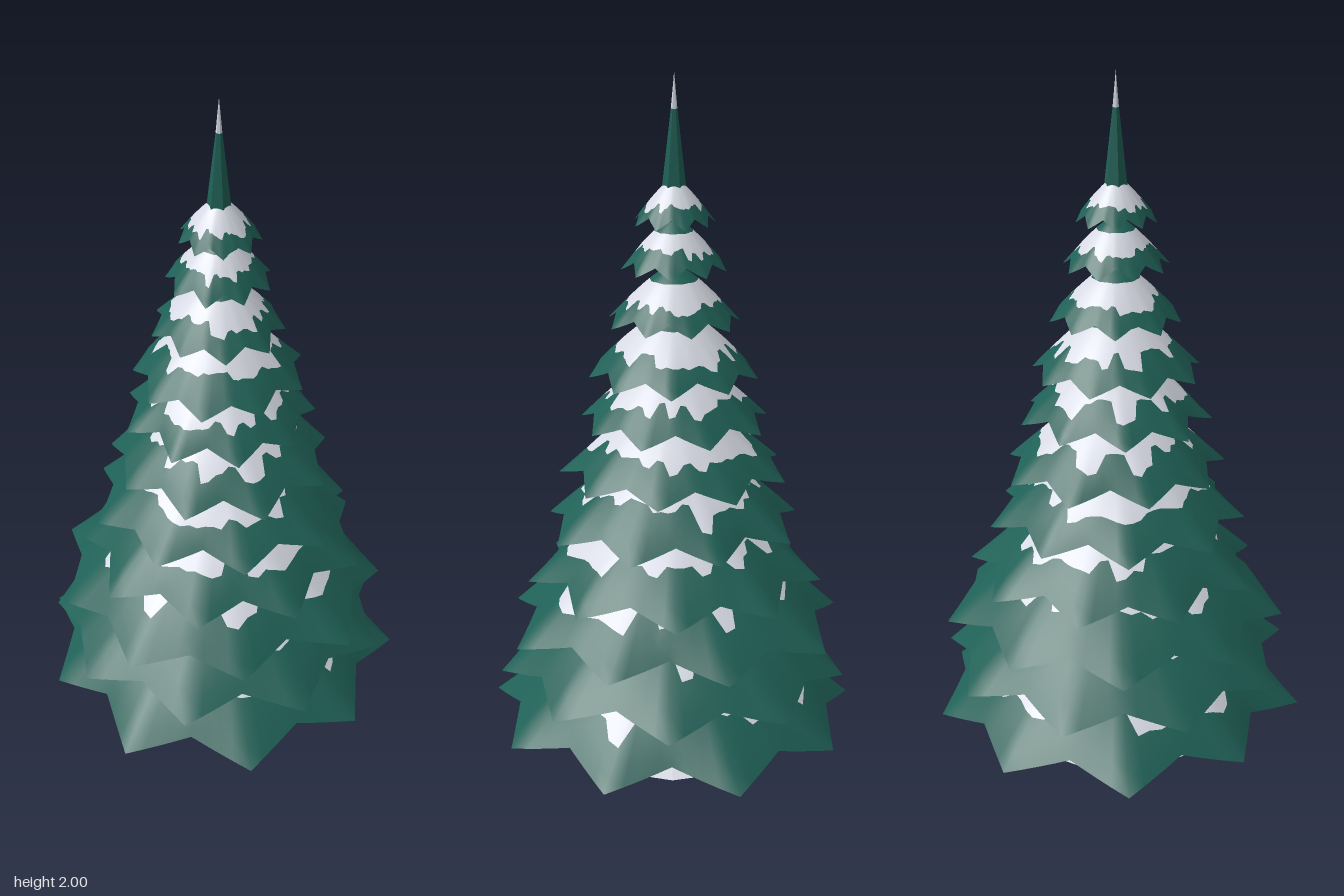
import * as THREE from 'three';

const material = (name, color) =>
  new THREE.MeshStandardMaterial({ name, color, side: THREE.DoubleSide });

// Small seeded generator for irregular branches and snow edges
let seed = 7;
const rand = () => {
  seed = (seed * 16807) % 2147483647;
  return seed / 2147483647;
};

const TEETH = 9, PER_TOOTH = 8, COLS = TEETH * PER_TOOTH;
const HALF = Math.PI / TEETH; // angle from a tip to the next valley
const CORE_ROWS = 2, SNOW_ROWS = 4, GREEN_ROWS = 3;
const ROWS = CORE_ROWS + SNOW_ROWS + GREEN_ROWS;
const INNER = 0.08;

// Drooping star-edged skirt: hidden needle core, band of snow, needle fringe
function tierGeometry(radius, rimY, height, turn, core, snowEdge) {
  const lift = 0.02 + 0.055 * radius;
  const tips = Array.from({ length: TEETH }, () => 0.97 + 0.06 * rand());
  const valleys = Array.from({ length: TEETH }, () => 0.81 + 0.06 * rand());
  const edges = Array.from({ length: COLS / 2 }, () => snowEdge + (rand() - 0.5) * 0.2);
  const pos = [], index = [];

  for (let i = 0; i <= ROWS; i++) {
    for (let j = 0; j < COLS; j++) {
      const a = turn + (j / COLS) * Math.PI * 2;
      // Straight rim line between a tip and its neighbouring valley
      const tooth = Math.floor(j / PER_TOOTH);
      const phase = (j % PER_TOOTH) / PER_TOOTH;
      const fromTip = 1 - Math.abs(1 - 2 * phase);
      const tip = tips[phase > 0.5 ? (tooth + 1) % TEETH : tooth];
      const valley = valleys[tooth];
      const phi = fromTip * HALF;
      const rim = tip * valley * Math.sin(HALF)
        / (tip * Math.sin(phi) + valley * Math.sin(HALF - phi));

      const edge = edges[j >> 1];
      const stops = [INNER, core, edge, 1];
      const band = i <= CORE_ROWS ? 0 : i <= CORE_ROWS + SNOW_ROWS ? 1 : 2;
      const start = [0, CORE_ROWS, CORE_ROWS + SNOW_ROWS][band];
      const count = [CORE_ROWS, SNOW_ROWS, GREEN_ROWS][band];
      const t = stops[band] + (stops[band + 1] - stops[band]) * (i - start) / count;

      const u = (t - INNER) / (1 - INNER);
      const r = radius * t * (1 - (1 - rim) * t * t);
      const y = rimY + height * (1 - Math.pow(u, 1.25)) + lift * fromTip * t * t * t;
      pos.push(Math.cos(a) * r, y, Math.sin(a) * r);
    }
  }
  for (let i = 0; i < ROWS; i++) {
    for (let j = 0; j < COLS; j++) {
      const n = (j + 1) % COLS;
      const p = i * COLS + j, q = i * COLS + n;
      index.push(p, q, p + COLS, q, q + COLS, p + COLS);
    }
  }
  const g = new THREE.BufferGeometry();
  g.setAttribute('position', new THREE.Float32BufferAttribute(pos, 3));
  g.setIndex(index);
  const perRow = COLS * 6;
  g.addGroup(0, CORE_ROWS * perRow, 1);
  g.addGroup(CORE_ROWS * perRow, SNOW_ROWS * perRow, 0);
  g.addGroup((CORE_ROWS + SNOW_ROWS) * perRow, GREEN_ROWS * perRow, 1);
  g.computeVertexNormals();
  return g;
}

export function createModel() {
  seed = 7;
  const snow = material('snow', 0xd6d9e3);
  const needles = material('needles', 0x1f6056);
  const bark = material('bark', 0x6e4f40);

  const tree = new THREE.Group();
  tree.name = 'snowyFirTree';
  const add = (name, geometry, mat, y = 0) => {
    const m = new THREE.Mesh(geometry, mat);
    m.name = name;
    m.position.y = y;
    tree.add(m);
  };
  const faceted = (g) => {
    const f = g.toNonIndexed();
    f.computeVertexNormals();
    return f;
  };

  // Snow mound, open underneath
  add('snowMound', faceted(new THREE.CylinderGeometry(0.07, 0.31, 0.07, 12, 1, true)), snow, 0.035);

  // Trunk with a flared foot
  add('trunkFoot', new THREE.CylinderGeometry(0.075, 0.125, 0.1, 8), bark, 0.05);
  add('trunk', new THREE.CylinderGeometry(0.016, 0.075, 1.6, 8), bark, 0.9);

  // Branch tiers: [tip radius, tip height, where the snow ends]
  const tiers = [
    [0.55, 0.08, 0.72], [0.52, 0.235, 0.64], [0.5, 0.39, 0.69], [0.425, 0.53, 0.7],
    [0.375, 0.695, 0.7], [0.325, 0.85, 0.7], [0.275, 1.005, 0.7], [0.25, 1.145, 0.7],
    [0.19, 1.3, 0.7], [0.15, 1.455, 0.7], [0.115, 1.585, 0.7],
  ];
  tiers.forEach(([radius, y, snowEdge], i) => {
    const turn = Math.PI + (i ? i * 0.36 + (rand() - 0.5) * 0.2 : 0);
    const core = i === tiers.length - 1 ? 0.2 : 0.36;
    const g = tierGeometry(radius, y, 0.06 + 0.53 * radius, turn, core, snowEdge);
    add('branchTier' + (i + 1), g, [snow, needles]);
  });

  // Leading shoot with a frosted tip
  add('leadingShoot', faceted(new THREE.CylinderGeometry(0.009, 0.034, 0.22, 6)), needles, 1.79);
  add('shootTip', faceted(new THREE.ConeGeometry(0.009, 0.1, 6)), snow, 1.95);
  return tree;
}
